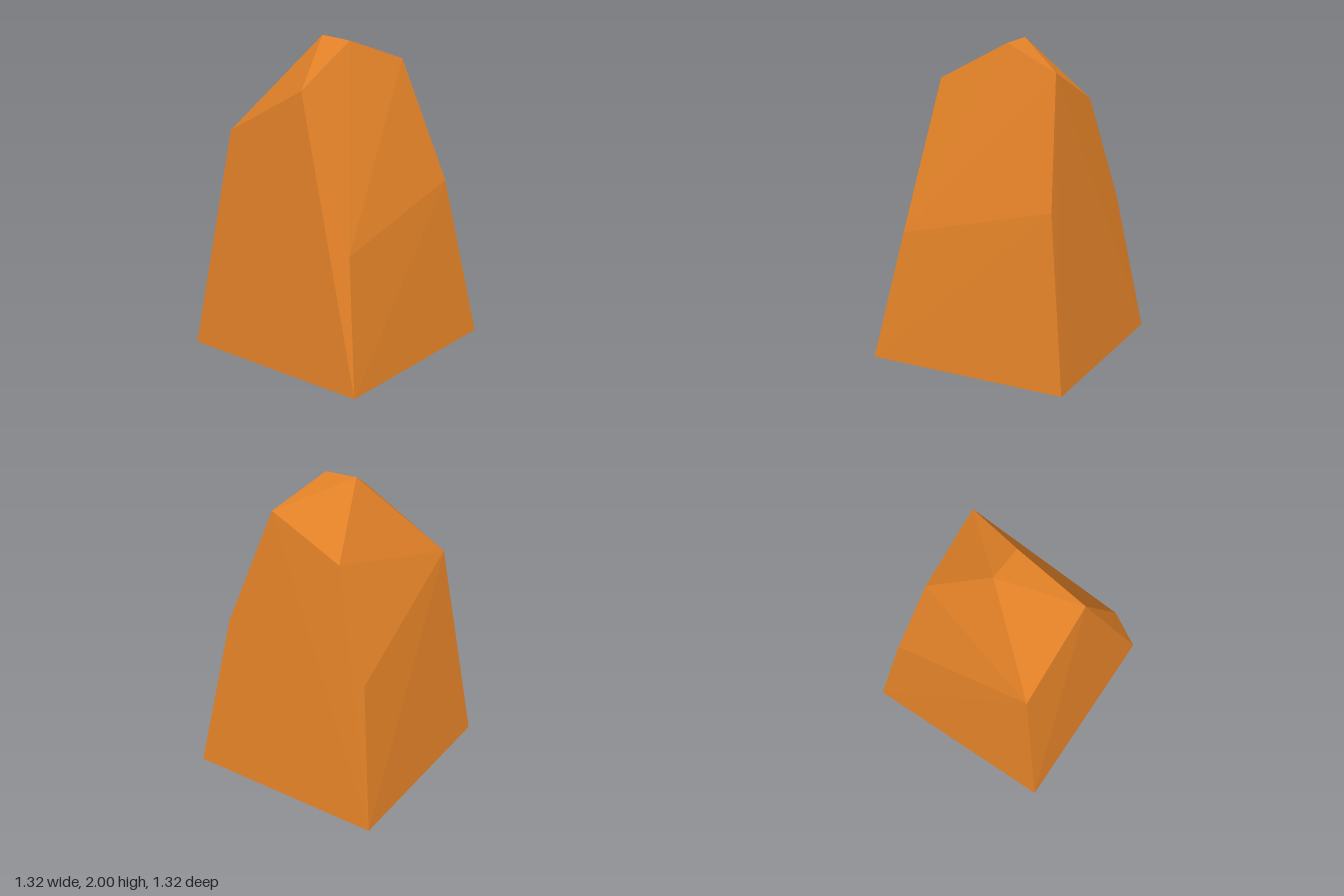
import * as THREE from 'three';
import { ConvexGeometry } from 'three/addons/geometries/ConvexGeometry.js';

// A faceted, tapering boulder: the convex hull of its few chiselled corners.
export function createModel() {
  const group = new THREE.Group();
  group.name = 'rock';

  const corners = [
    // square foot
    [-0.66, 0, 0.66], [0.66, 0, 0.66], [0.66, 0, -0.66], [-0.66, 0, -0.66],
    // side bends
    [0.505, 0.81, 0.515], [0.49, 1.06, -0.505], [-0.52, 0.93, -0.51],
    // shoulders
    [-0.495, 1.42, 0.458], [0.1, 1.74, 0.465], [0.21, 1.84, -0.395], [-0.275, 1.62, -0.408],
    // crest
    [-0.135, 2, -0.015], [0.09, 1.985, -0.005],
  ].map((p) => new THREE.Vector3(...p));

  const orangeStone = new THREE.MeshStandardMaterial({ color: 0xe08027 });
  orangeStone.name = 'orangeStone';

  const boulder = new THREE.Mesh(new ConvexGeometry(corners), orangeStone);
  boulder.name = 'boulder';
  group.add(boulder);
  return group;
}
